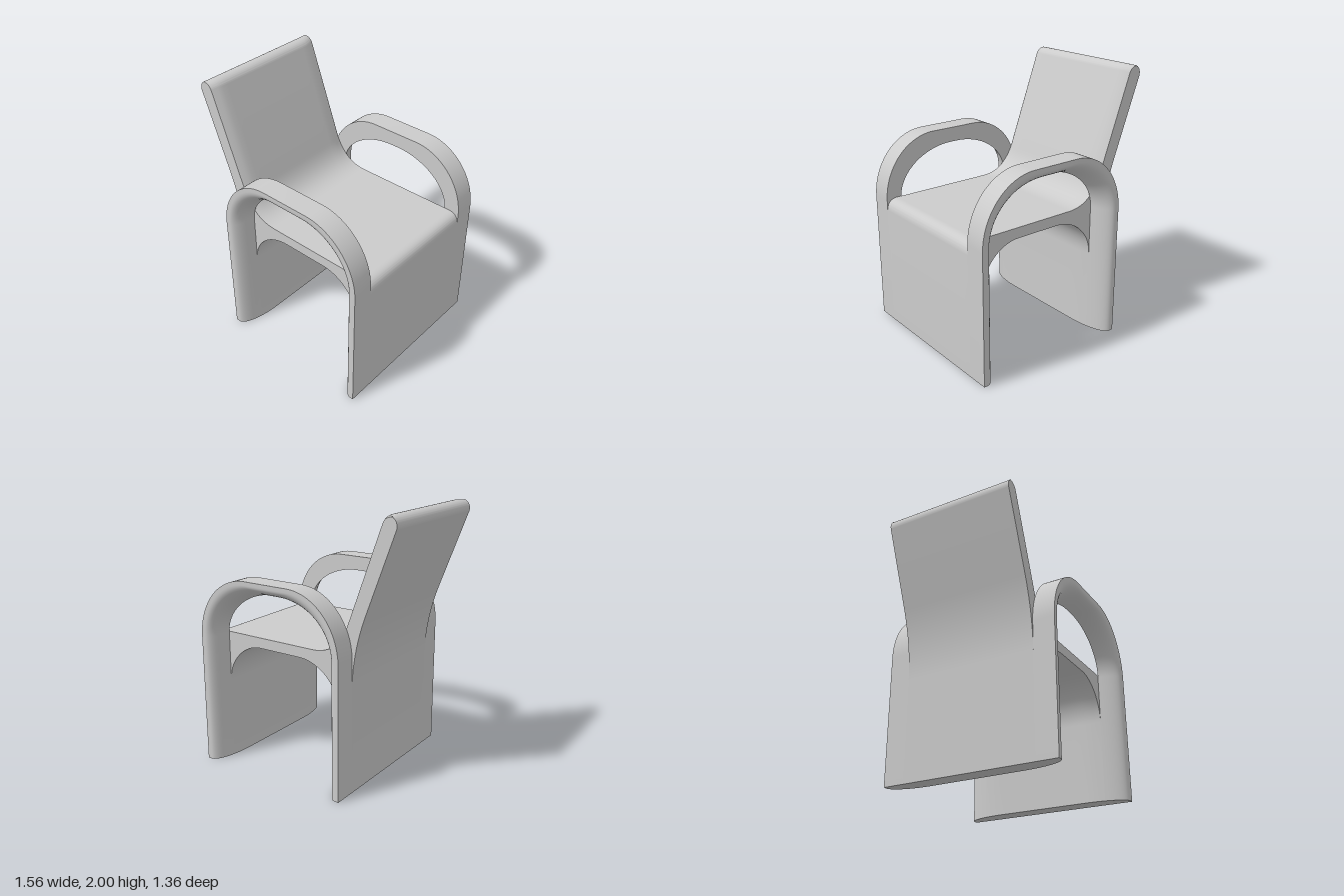
import * as THREE from 'three';
import { toCreasedNormals } from 'three/addons/utils/BufferGeometryUtils.js';

const HALF = 0.515;   // half width of seat and back
const EDGE = 0.68;    // half width at the arm rims
const material = new THREE.MeshStandardMaterial({ color: 0xcccccc, side: THREE.DoubleSide });

// How full the inner bulge is across the width: 1 in the middle, 0 at the rim
function bulge(z) {
  const u = THREE.MathUtils.clamp((Math.abs(z) - 0.36) / (EDGE - 0.36), 0, 1);
  return Math.sqrt(1 - u * u);
}

function smoothMesh(geometry, name) {
  const mesh = new THREE.Mesh(toCreasedNormals(geometry, 0.5), material);
  mesh.name = name;
  return mesh;
}

// Seat, backrest and the middle of both leg panels as one side profile
function makeBody() {
  const s = new THREE.Shape();
  s.moveTo(-0.455, 0);
  s.lineTo(-0.455, 0.77);
  s.quadraticCurveTo(-0.455, 1.05, -0.56, 1.33);
  s.lineTo(-0.779, 1.912);
  s.absarc(-0.717, 1.934, 0.066, Math.PI + 0.35, 0.35, true);
  s.lineTo(-0.385, 1.22);
  s.bezierCurveTo(-0.345, 1.1, -0.27, 1.015, -0.12, 1.015);
  s.lineTo(0.69, 1.015);
  s.quadraticCurveTo(0.78, 1.015, 0.78, 0.92);
  s.lineTo(0.78, 0);
  s.lineTo(0.645, 0);
  s.lineTo(0.645, 0.62);
  s.bezierCurveTo(0.645, 0.795, 0.515, 0.935, 0.35, 0.935);
  s.lineTo(0, 0.935);
  s.bezierCurveTo(-0.18, 0.935, -0.32, 0.795, -0.32, 0.62);
  s.lineTo(-0.32, 0);
  const g = new THREE.ExtrudeGeometry(s, { depth: 2 * HALF, steps: 24, curveSegments: 20, bevelEnabled: false });
  g.translate(0, 0, -HALF);

  const p = g.attributes.position;
  for (let i = 0; i < p.count; i++) {
    const x = p.getX(i), y = p.getY(i), z = p.getZ(i);
    if (y < 0.93 && x > -0.33 && x < 0.65) {
      // inner faces of the legs thin out towards the sides
      const d = 0.105 * (1 - bulge(z)) * Math.min(1, (0.935 - y) / 0.2);
      p.setX(i, x + (x < 0.16 ? -d : d));
    } else if (y > 1.016 && x > -0.717 + (1.934 - y) * 0.33) {
      // front of the backrest is softened along its side edges
      const u = Math.max(0, (Math.abs(z) - 0.42) / (HALF - 0.42));
      const d = 0.025 * u * u * Math.min(1, (y - 1.015) / 0.2);
      p.setXY(i, x - 0.94 * d, y - 0.34 * d);
    }
  }
  return smoothMesh(g, 'seatAndBackrest');
}

// Arch path: matching points on the outer face, the thin rim and the full inner bulge
function archPath() {
  const N = 28, path = [];
  const add = (side, a, y0) => {
    const c = Math.cos(a) * side, n = Math.sin(a);
    const cx = side < 0 ? -0.03 : 0.35, r = side < 0 ? 0.425 : 0.43;
    path.push({
      outer: [cx + r * c, y0 + 0.47 * n],
      rim: [cx + (r - 0.03) * c, y0 + 0.44 * n],
      inner: [0.1625 + 0.4825 * c, y0 + 0.345 * n],
    });
  };
  add(-1, 0, 0);
  for (let i = 0; i <= N; i++) add(-1, (i / N) * Math.PI / 2, 1);
  for (let i = N; i >= 0; i--) add(1, (i / N) * Math.PI / 2, 1);
  add(1, 0, 0);
  return path;
}

// Arm hoop running down into the outer strips of both leg panels
function makeArm(side, name) {
  const path = archPath(), K = 10, M = K + 3;
  const pos = [], idx = [];
  for (const { outer, rim, inner } of path) {
    pos.push(...outer, side * HALF, ...outer, side * EDGE);
    for (let k = 0; k <= K; k++) {
      const z = HALF + (EDGE - HALF) * Math.cos((k / K) * Math.PI / 2);
      const b = bulge(z);
      pos.push(rim[0] + (inner[0] - rim[0]) * b, rim[1] + (inner[1] - rim[1]) * b, side * z);
    }
  }
  const tri = (a, b, c) => (side > 0 ? idx.push(a, b, c) : idx.push(a, c, b));
  for (let i = 0; i < path.length - 1; i++) {
    for (let j = 0; j < M; j++) {
      const a = i * M + j, b = i * M + (j + 1) % M;
      tri(a, b, b + M);
      tri(a, b + M, a + M);
    }
  }
  // feet
  const last = (path.length - 1) * M;
  for (let j = 1; j < M - 1; j++) {
    tri(0, j + 1, j);
    tri(last, last + j, last + j + 1);
  }
  const g = new THREE.BufferGeometry();
  g.setAttribute('position', new THREE.Float32BufferAttribute(pos, 3));
  g.setIndex(idx);
  return smoothMesh(g, name);
}

export function createModel() {
  const chair = new THREE.Group();
  chair.name = 'armchair';
  chair.add(makeBody(), makeArm(1, 'armHoopFront'), makeArm(-1, 'armHoopRear'));
  return chair;
}
